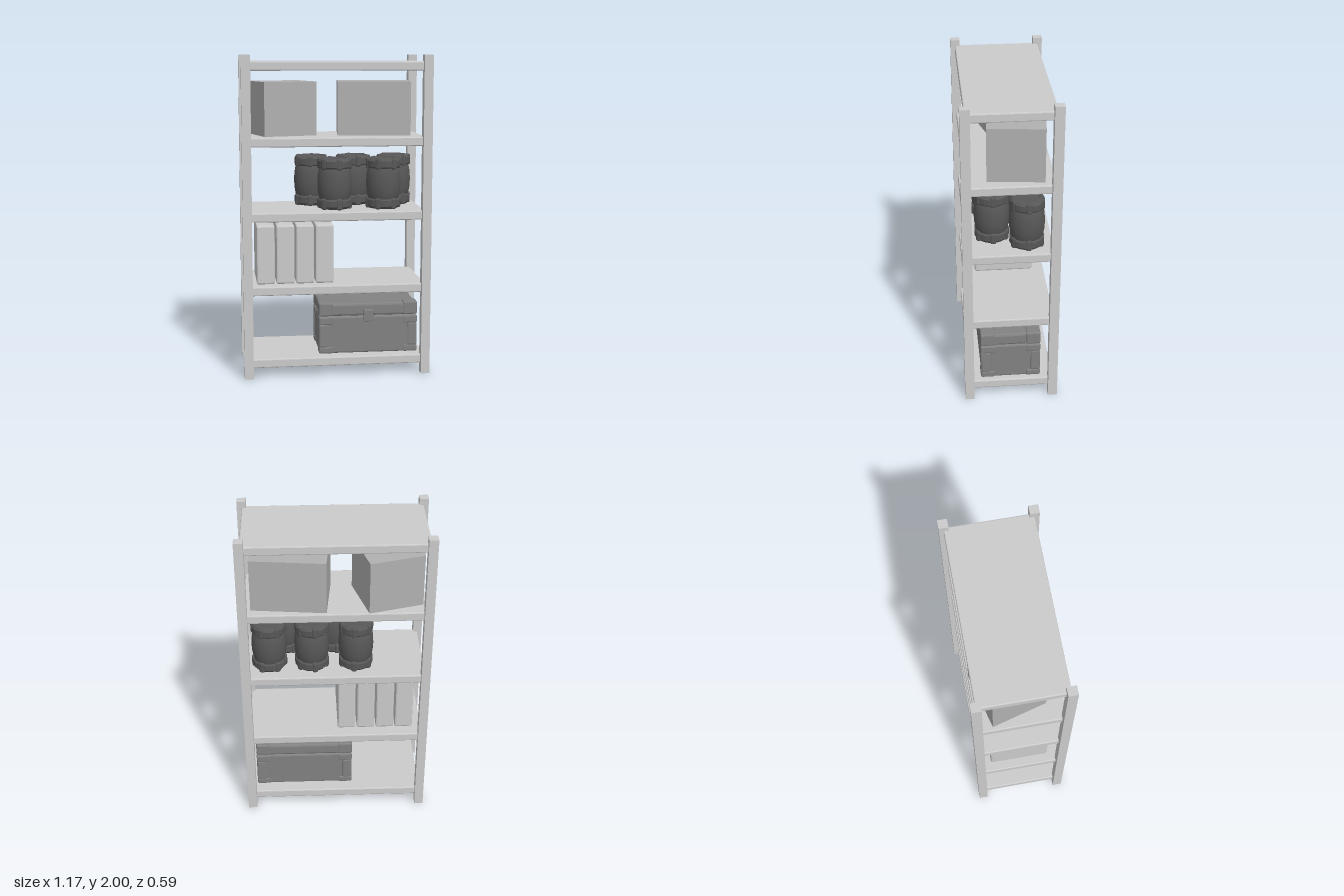
import * as THREE from 'three';
import { RoundedBoxGeometry } from 'three/addons/geometries/RoundedBoxGeometry.js';

const flat = (color) => new THREE.MeshStandardMaterial({ color, flatShading: true });
const grey = flat(0xcccccc);
const cartonMat = flat(0xb0b0b0);
const crateMat = flat(0x828282);
const barrelMat = flat(0x585858);
const barrelSmooth = new THREE.MeshStandardMaterial({ color: 0x585858 });

const SHELF_TOPS = [0.118, 0.578, 1.039, 1.499, 1.96];

function add(parent, name, geometry, material, x, y, z) {
  const mesh = new THREE.Mesh(geometry, material);
  mesh.name = name;
  mesh.position.set(x, y, z);
  parent.add(mesh);
  return mesh;
}

// Box with chamfered edges
const chamferBox = (w, h, d, c) => new RoundedBoxGeometry(w, h, d, 1, c);

function group(parent, name, x, y, z) {
  const g = new THREE.Group();
  g.name = name;
  g.position.set(x, y, z);
  parent.add(g);
  return g;
}

// Chest with a lid, stepped corner guards and a front latch; origin at base centre
function buildCrate(parent, x, y) {
  const g = group(parent, 'crate', x, y, 0);
  const W = 0.62, D = 0.368;
  add(g, 'crateBody', chamferBox(W, 0.238, D, 0.01), crateMat, 0, 0.119, 0);
  add(g, 'crateLid', chamferBox(W, 0.08, D, 0.014), crateMat, 0, 0.281, 0);
  // Guard levels: size, bottom, top
  const levels = [[0.09, 0, 0.045], [0.062, 0.04, 0.19], [0.09, 0.185, 0.238], [0.09, 0.243, 0.327]];
  for (const sx of [-1, 1]) for (const sz of [-1, 1]) {
    for (const [s, y0, y1] of levels) {
      add(g, 'crateCornerGuard', chamferBox(s, y1 - y0, s, 0.009), crateMat,
        sx * (W / 2 + 0.005 - s / 2), (y0 + y1) / 2, sz * (D / 2 + 0.005 - s / 2));
    }
  }
  add(g, 'crateLatch', chamferBox(0.06, 0.075, 0.03, 0.004), crateMat, 0, 0.245, 0.188);
}

// Bulging barrel with two chamfered end rings and clips; origin at base centre
const bodyGeometry = new THREE.LatheGeometry([
  [0.088, 0.05], [0.098, 0.065], [0.106, 0.11], [0.109, 0.16], [0.106, 0.21], [0.098, 0.252], [0.088, 0.27],
].map(([r, h]) => new THREE.Vector2(r, h)), 24);
const ringGeometry = new THREE.LatheGeometry([
  [0, 0.008], [0.075, 0.008], [0.08, 0], [0.094, 0.003], [0.106, 0.018], [0.106, 0.055], [0.1, 0.064], [0.085, 0.064],
].map(([r, h]) => new THREE.Vector2(r, h)), 24);
const clipGeometry = chamferBox(0.036, 0.07, 0.034, 0.01);

function buildBarrel(parent, x, y, z, turn) {
  const g = group(parent, 'barrel', x, y, z);
  g.rotation.y = turn;
  add(g, 'barrelBody', bodyGeometry, barrelSmooth, 0, 0, 0);
  for (const top of [false, true]) {
    const end = group(g, top ? 'barrelTop' : 'barrelBase', 0, top ? 0.32 : 0, 0);
    if (top) end.rotation.x = Math.PI;
    add(end, 'barrelRing', ringGeometry, barrelMat, 0, 0, 0);
    for (let i = 0; i < 6; i++) {
      const a = (i * Math.PI) / 3;
      const clip = add(end, 'barrelClip', clipGeometry, barrelMat, Math.sin(a) * 0.093, 0.035, Math.cos(a) * 0.093);
      clip.rotation.y = a;
    }
  }
}

export function createModel() {
  const model = new THREE.Group();
  model.name = 'storageRack';

  // Four square posts
  for (const sx of [-1, 1]) for (const sz of [-1, 1]) {
    add(model, 'post', new THREE.BoxGeometry(0.056, 2, 0.058), grey, sx * 0.556, 1, sz * 0.264);
  }

  // Five shelves
  const shelf = chamferBox(1.108, 0.056, 0.53, 0.007);
  for (const top of SHELF_TOPS) add(model, 'shelf', shelf, grey, 0, top - 0.028, 0);

  // Bottom shelf: chest
  buildCrate(model, 0.206, SHELF_TOPS[0]);

  // Second shelf: row of upright cases
  for (let i = 0; i < 4; i++) {
    add(model, 'case', chamferBox(0.114, 0.372, 0.376, 0.011), grey, -0.441 + i * 0.123, SHELF_TOPS[1] + 0.186, 0);
  }

  // Third shelf: two rows of barrels
  const barrels = [[0, 0.1], [0.31, 0.1], [-0.13, -0.105], [0.145, -0.105], [0.41, -0.105]];
  barrels.forEach(([x, z], i) => buildBarrel(model, x, SHELF_TOPS[2] + 0.002, z, 0.2 + i * 0.35));

  // Fourth shelf: two turned cartons
  const cartons = [[-0.32, -0.05, 0.342, 0.342, 0.265], [0.265, -0.053, 0.457, 0.342, -0.102]];
  for (const [x, z, w, d, turn] of cartons) {
    add(model, 'carton', new THREE.BoxGeometry(w, 0.335, d), cartonMat, x, SHELF_TOPS[3] + 0.1675, z).rotation.y = turn;
  }

  return model;
}
